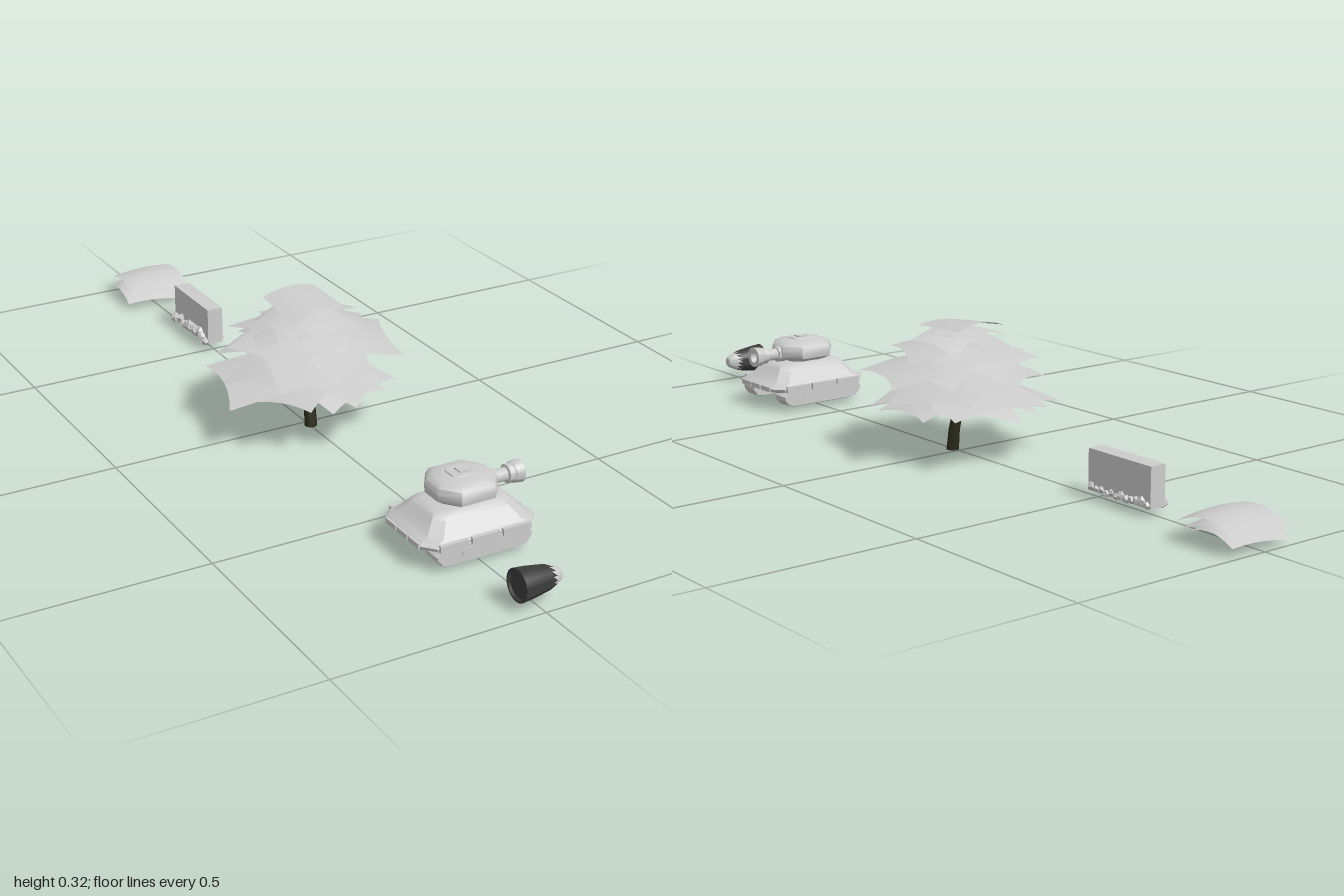
import * as THREE from 'three';
import { toCreasedNormals } from 'three/addons/utils/BufferGeometryUtils.js';

const mat = (name, color, side = THREE.FrontSide) => {
  const m = new THREE.MeshStandardMaterial({ color, side });
  m.name = name;
  return m;
};

// Closed solid from stacked eight-sided sections [y, halfX, halfZ, cutX, cutZ]
function loft(sections, crease = 0.5) {
  const pos = [], idx = [];
  for (const [y, hx, hz, cx, cz] of sections) {
    const a = hx - cx, b = hz - cz;
    for (const [x, z] of [[hx, -b], [hx, b], [a, hz], [-a, hz], [-hx, b], [-hx, -b], [-a, -hz], [a, -hz]]) pos.push(x, y, z);
  }
  const n = sections.length, top = n * 8 + 1;
  pos.push(0, sections[0][0], 0, 0, sections[n - 1][0], 0);
  for (let j = 0; j < 8; j++) {
    const k = (j + 1) % 8, t = (n - 1) * 8;
    for (let i = 0; i < n - 1; i++) {
      const a = i * 8 + j, b = i * 8 + k;
      idx.push(a, a + 8, b, b, a + 8, b + 8);
    }
    idx.push(n * 8, j, k, top, t + k, t + j);
  }
  const g = new THREE.BufferGeometry();
  g.setAttribute('position', new THREE.Float32BufferAttribute(pos, 3));
  g.setIndex(idx);
  return toCreasedNormals(g, crease);
}

// Solid of revolution lying along x, from [radius, x] points
function turned(points, segments = 20) {
  const g = new THREE.LatheGeometry(points.map(p => new THREE.Vector2(...p)), segments);
  return toCreasedNormals(g.rotateZ(-Math.PI / 2), 0.6);
}

export function createModel() {
  const model = new THREE.Group();
  const grey = mat('light grey', 0xcccccc);
  const leaf = mat('leaf grey', 0xcccccc, THREE.DoubleSide);
  const dark = mat('dark casing', 0x3c3c3c);
  const bark = mat('dark bark', 0x2b2b1a);

  let seed = 7;
  const rnd = () => (seed = (seed * 16807) % 2147483647) / 2147483647;

  const group = (name, x, y, z) => {
    const g = new THREE.Group();
    g.name = name;
    g.position.set(x, y, z);
    model.add(g);
    return g;
  };
  const add = (parent, name, geo, m, x = 0, y = 0, z = 0) => {
    const mesh = new THREE.Mesh(geo, m);
    mesh.name = name;
    mesh.position.set(x, y, z);
    parent.add(mesh);
    return mesh;
  };

  // Shell: dark casing, toothed joint, pale blunt tip
  const shell = group('shell', 0, 0.057, 0.963);
  add(shell, 'casing', turned([[0, -0.044], [0.03, -0.044], [0.033, -0.049], [0.037, -0.049], [0.034, -0.02], [0.03, 0.005], [0.027, 0.023]], 24), dark);
  const joint = new THREE.CylinderGeometry(0.0225, 0.027, 0.013, 14, 1, true).rotateZ(-Math.PI / 2);
  joint.clearGroups();
  for (let i = 0; i < 28; i++) joint.addGroup(i * 3, 3, i % 2);
  add(shell, 'toothedJoint', joint, [grey, dark], 0.0295);
  add(shell, 'tip', turned([[0.0225, 0.036], [0.019, 0.044], [0.014, 0.053], [0.01, 0.056], [0, 0.056]], 14), grey);

  // Tank, facing +x
  const tank = group('tank', 0.005, 0, 0.67);
  add(tank, 'hull', loft([
    [0.035, 0.09, 0.06, 0.02, 0.01], [0.05, 0.13, 0.088, 0.022, 0.024], [0.052, 0.14, 0.096, 0.025, 0.028],
    [0.06, 0.144, 0.098, 0.025, 0.028], [0.067, 0.136, 0.094, 0.025, 0.026], [0.073, 0.122, 0.088, 0.025, 0.024],
    [0.1, 0.1, 0.066, 0.022, 0.02], [0.108, 0.092, 0.058, 0.022, 0.02], [0.113, 0.08, 0.05, 0.022, 0.02]]), grey);
  add(tank, 'turretRing', new THREE.CylinderGeometry(0.046, 0.05, 0.01, 20), grey, 0, 0.114, 0);
  add(tank, 'turret', loft([
    [0.113, 0.045, 0.042, 0.025, 0.02], [0.118, 0.06, 0.056, 0.03, 0.03], [0.126, 0.074, 0.069, 0.032, 0.044],
    [0.142, 0.076, 0.072, 0.032, 0.046], [0.156, 0.072, 0.067, 0.032, 0.042],
    [0.165, 0.058, 0.052, 0.028, 0.032], [0.169, 0.036, 0.03, 0.016, 0.016]], 0.75), grey);
  add(tank, 'hatch', loft([[0.166, 0.034, 0.026, 0.008, 0.008], [0.172, 0.031, 0.023, 0.008, 0.008]]), grey);
  add(tank, 'hatchLid', new THREE.BoxGeometry(0.026, 0.004, 0.024), grey, 0.002, 0.173, 0);

  // Gun with hollow muzzle
  add(tank, 'gun', turned([
    [0, 0.06], [0.022, 0.06], [0.02, 0.08], [0.015, 0.082], [0.015, 0.112], [0.021, 0.114], [0.021, 0.126],
    [0.024, 0.13], [0.026, 0.149], [0.022, 0.15], [0.014, 0.149], [0.013, 0.125], [0, 0.125]]), grey, 0, 0.134, 0);

  // Tracks, side plates and fender panels on both sides
  const outline = new THREE.Shape([
    [-0.085, 0.014], [0.09, 0.014], [0.106, 0.018], [0.117, 0.032], [0.118, 0.04], [0.105, 0.054],
    [-0.105, 0.054], [-0.118, 0.04], [-0.117, 0.032], [-0.104, 0.018]].map(p => new THREE.Vector2(...p)));
  const trackGeo = toCreasedNormals(new THREE.ExtrudeGeometry(outline, {
    depth: 0.04, bevelThickness: 0.004, bevelSize: 0.002, bevelSegments: 1 }).translate(0, 0, -0.02), 0.5);
  for (const s of [-1, 1]) {
    add(tank, 'track', trackGeo, grey, 0, 0, s * 0.076);
    const plate = add(tank, 'trackPlate', new THREE.CylinderGeometry(0.016, 0.018, 0.052, 16).rotateX(Math.PI / 2), grey, 0, 0.035, s * 0.076);
    plate.scale.x = 3.6;
    for (let i = -1; i <= 1; i++) {
      add(tank, 'fenderPanel', new THREE.BoxGeometry(0.07, 0.016, 0.01), grey, i * 0.078, 0.059, s * 0.099);
      add(tank, 'endPanel', new THREE.BoxGeometry(0.006, 0.012, 0.04), grey, s * 0.142, 0.058, i * 0.046);
    }
  }

  // Bent sheet with drawn-out corners: falls by drop towards its outer (+z) edge
  const sheet = (parent, name, size, yaw, reach, y, drop, droop) => {
    const g = new THREE.PlaneGeometry(size, size, 6, 6).rotateX(-Math.PI / 2);
    const p = g.attributes.position;
    const skew = (rnd() - 0.5) * 0.2, twist = (rnd() - 0.5) * 0.03;
    for (let i = 0; i < p.count; i++) {
      const u = p.getX(i) / size * 2, v = Math.max(0, p.getZ(i) / size + 0.5);
      p.setY(i, -drop * Math.pow(v, 1.4) - droop * u * u + twist * u * v);
      p.setZ(i, p.getZ(i) + skew * p.getX(i) + size * 0.07 * v * (u * u - 0.4));
    }
    g.translate(0, 0, reach - size / 2).rotateY(yaw);
    g.computeVertexNormals();
    add(parent, name, g, leaf, 0, y, 0);
  };

  // Tree: leaning tapered trunk, tilted rings of leaf sheets, and a cap
  const tree = group('tree', 0, 0, 0);
  const lean = [[0, 0.0155, 0.003, 0.02], [0.05, 0.014, 0.003, 0.014], [0.1, 0.013, 0.001, 0.002], [0.16, 0.011, 0, 0]];
  const trunkGeo = new THREE.CylinderGeometry(1, 1, 3, 10, 3);
  const tp = trunkGeo.attributes.position;
  for (let i = 0; i < tp.count; i++) {
    const [y, r, x, z] = lean[Math.round(tp.getY(i) + 1.5)];
    tp.setXYZ(i, x + tp.getX(i) * r, y, z + tp.getZ(i) * r);
  }
  add(tree, 'trunk', toCreasedNormals(trunkGeo, 0.7), bark);
  // [count, size, first yaw, reach, inner height, drop, tilt towards +x +z]
  const rings = [
    [5, 0.19, 0.3, 0.165, 0.165, 0.045, 0],
    [4, 0.215, 0.55, 0.18, 0.21, 0.045, -0.022],
    [4, 0.235, -0.2, 0.205, 0.208, 0.038, 0.032],
    [4, 0.19, 0.35, 0.165, 0.258, 0.04, -0.008],
    [4, 0.17, -0.3, 0.14, 0.278, 0.032, 0.008],
    [4, 0.13, 0.3, 0.105, 0.305, 0.03, 0]];
  for (const [count, size, yaw, reach, y, drop, tilt] of rings)
    for (let i = 0; i < count; i++) {
      const a = yaw + i * Math.PI * 2 / count;
      sheet(tree, 'leafSheet', size * (0.96 + rnd() * 0.08), a + (rnd() - 0.5) * 0.1, reach * (0.97 + rnd() * 0.06),
        y + tilt * (Math.sin(a) + Math.cos(a)) + (rnd() - 0.5) * 0.012, drop, 0.01);
    }
  sheet(tree, 'leafCap', 0.145, 0, 0.062, 0.325, 0.012, 0.014);

  // Wall with rubble along its foot
  const wall = group('wall', 0.003, 0, -0.592);
  add(wall, 'slab', new THREE.BoxGeometry(0.042, 0.095, 0.198), grey, 0, 0.0665, 0);
  for (let i = 0; i < 12; i++) {
    for (const s of [-1, 1]) {
      const r = (s < 0 ? 0.011 : 0.008) + rnd() * 0.004;
      const stone = add(wall, 'rubble', new THREE.DodecahedronGeometry(r), grey,
        s * 0.019 - (s < 0 ? rnd() * 0.012 : 0), 0.023 + rnd() * (s < 0 ? 0.018 : 0.01), -0.088 + i * 0.016);
      stone.rotation.set(rnd() * 3, rnd() * 3, 0);
    }
  }

  // Pile of three arched sheets
  const pile = group('leafPile', 0.008, 0, -0.915);
  [[0.073, 0.165, 0], [0.056, 0.156, 0.09], [0.042, 0.152, -0.08]].forEach(([top, size, yaw], n) => {
    const g = new THREE.PlaneGeometry(size, size, 8, 8).rotateX(-Math.PI / 2);
    const p = g.attributes.position;
    for (let i = 0; i < p.count; i++) {
      const u = p.getX(i) / size * 2, v = p.getZ(i) / size * 2;
      p.setY(i, -0.022 * v * v - 0.007 * u * u - 0.004 * u * v);
    }
    g.rotateY(yaw);
    g.computeVertexNormals();
    add(pile, 'pileSheet', g, leaf, -0.006 * n, top, 0);
  });

  return model;
}
